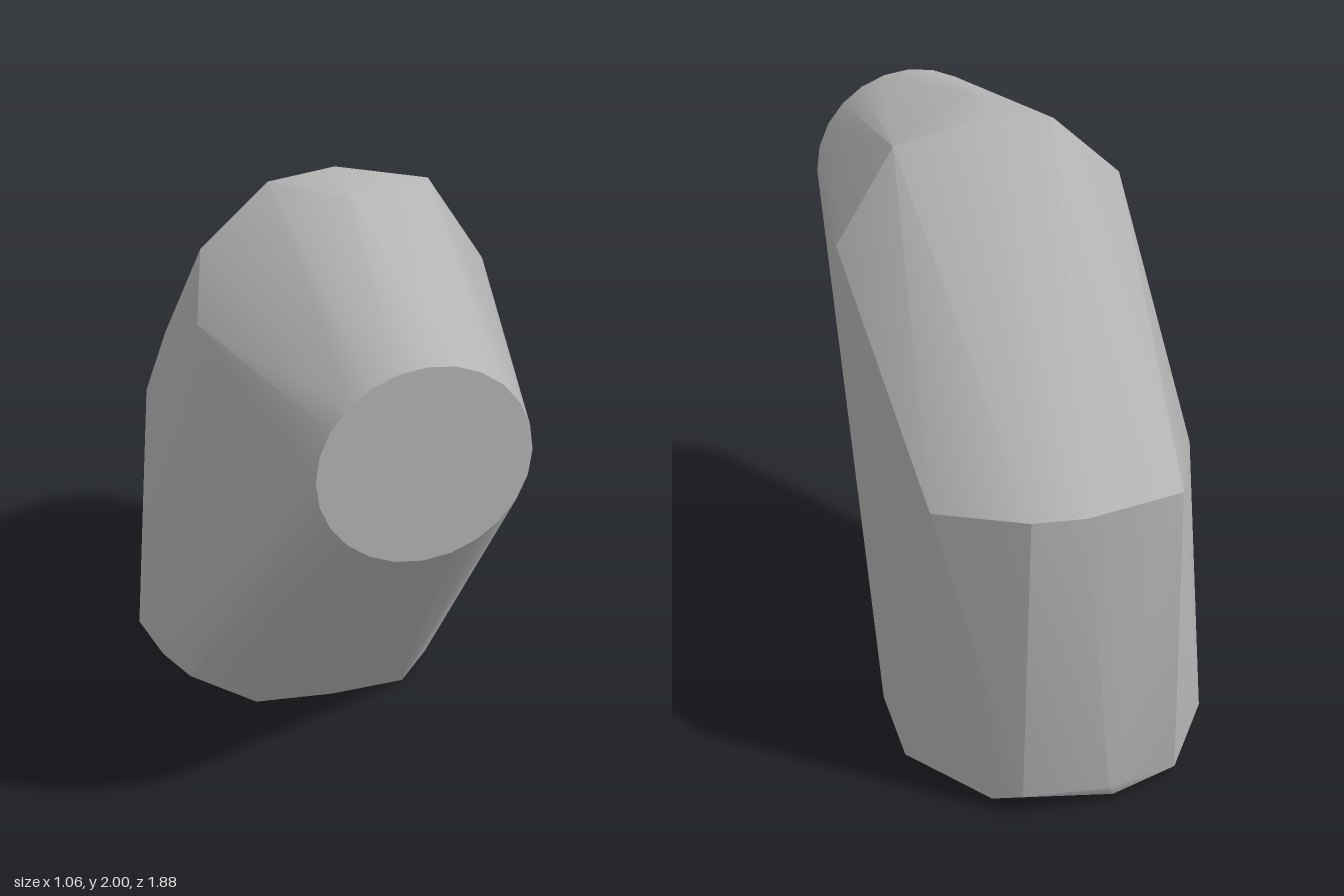
import * as THREE from 'three';
import { ConvexGeometry } from 'three/addons/geometries/ConvexGeometry.js';
import { toCreasedNormals } from 'three/addons/utils/BufferGeometryUtils.js';

const grey = new THREE.MeshStandardMaterial({ color: 0xb4b4b4 });
grey.name = 'plain grey';

// round flat face at the front
function frontCircle(sides = 24) {
  const ring = [];
  for (let i = 0; i < sides; i++) {
    const a = (i / sides) * Math.PI * 2;
    ring.push([0.02 + 0.333 * Math.cos(a), 1.485 + 0.33 * Math.sin(a), 0.94]);
  }
  return ring;
}

// ridge over the top of the bend
const topRidge = [
  [0.53, 1.62, -0.02], [0.34, 1.93, -0.02], [0.04, 2, -0.04], [0.02, 2, 0.19],
  [-0.175, 1.975, -0.045], [-0.395, 1.77, -0.05], [-0.47, 1.64, 0.19],
];

// shoulder halfway down the back
const backShoulder = [
  [0.44, 1.03, -0.74], [0.18, 1.05, -0.925], [0.01, 1.05, -0.945],
  [-0.33, 1.04, -0.86], [-0.48, 1.02, -0.52],
];

// slightly chipped outline of the foot
const foot = [
  [0.46, 0, -0.48], [0.46, 0.06, -0.22], [0.4, 0.03, -0.12], [0.28, 0.005, -0.01],
  [0.02, 0.015, 0.01], [-0.25, 0.03, 0], [-0.45, 0.09, -0.13], [-0.51, 0.095, -0.28],
  [-0.53, 0.05, -0.56], [-0.33, 0.04, -0.86], [-0.1, 0.02, -0.92],
  [-0.08, 0.06, -0.94], [0.2, 0.07, -0.92], [0.28, 0.035, -0.85],
];

export function createModel() {
  const group = new THREE.Group();
  group.name = 'bentBlock';
  const points = [...frontCircle(), ...topRidge, ...backShoulder, ...foot]
    .map((p) => new THREE.Vector3(...p));
  const body = new THREE.Mesh(toCreasedNormals(new ConvexGeometry(points), 0.5), grey);
  body.name = 'body';
  group.add(body);
  return group;
}
